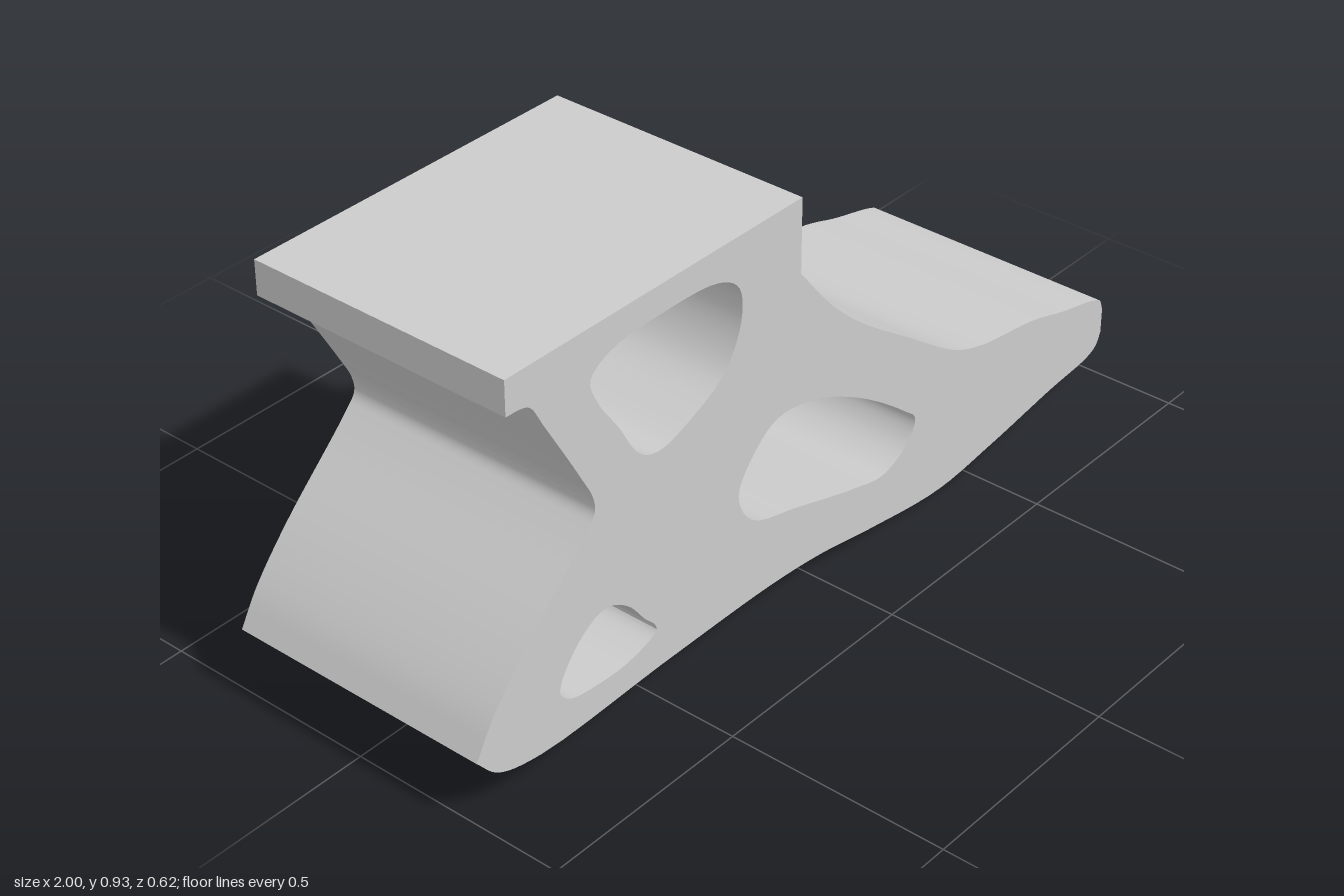
import * as THREE from 'three';
import { toCreasedNormals } from 'three/addons/utils/BufferGeometryUtils.js';

const DEPTH = 0.62;

// Smooth run of 2D points through the given control points
function smooth(points, closed = false) {
  const curve = new THREE.CatmullRomCurve3(
    points.map(([x, y]) => new THREE.Vector3(x, y, 0)), closed, 'centripetal');
  const run = curve.getPoints(points.length * 5).map(p => new THREE.Vector2(p.x, p.y));
  if (closed) run.pop();
  return run;
}

// Side profile, clockwise from the top plate, split where it has hard corners
const instep = [
  [-0.074, 0.762], [0.025, 0.645], [0.125, 0.555], [0.275, 0.45], [0.445, 0.335],
  [0.54, 0.3], [0.73, 0.27], [0.835, 0.24], [0.96, 0.21], [0.988, 0.197], [1, 0.17],
];
const sole = [
  [1, 0.11], [0.985, 0.082], [0.955, 0.067], [0.81, 0.05], [0.6, 0.02], [0.41, 0.002],
  [0.17, 0.031], [0.01, 0.058], [-0.15, 0.071], [-0.47, 0.071], [-0.835, 0.066],
  [-0.945, 0.095], [-1, 0.15],
];
const heel = [
  [-1, 0.15], [-0.955, 0.225], [-0.865, 0.33], [-0.7, 0.49], [-0.668, 0.53], [-0.672, 0.565],
  [-0.7, 0.62], [-0.795, 0.785], [-0.828, 0.84], [-0.848, 0.85], [-0.891, 0.853],
];

// Rounded openings through the web, counter-clockwise so their walls face inwards
const openings = [
  [[-0.655, 0.765], [-0.6, 0.683], [-0.54, 0.592], [-0.485, 0.572], [-0.395, 0.597],
    [-0.3, 0.65], [-0.252, 0.74], [-0.257, 0.815], [-0.315, 0.855], [-0.475, 0.867],
    [-0.62, 0.855], [-0.672, 0.82]],
  [[-0.215, 0.265], [-0.07, 0.217], [0.125, 0.16], [0.21, 0.145], [0.285, 0.178],
    [0.315, 0.23], [0.275, 0.27], [0.125, 0.378], [-0.02, 0.448], [-0.14, 0.464],
    [-0.212, 0.417], [-0.256, 0.345]],
  [[-0.75, 0.148], [-0.67, 0.133], [-0.57, 0.136], [-0.5, 0.165], [-0.537, 0.213],
    [-0.583, 0.268], [-0.645, 0.298], [-0.717, 0.265], [-0.774, 0.18]],
];

export function createModel() {
  const model = new THREE.Group();
  model.name = 'footBracket';

  const outline = new THREE.Shape([
    new THREE.Vector2(-0.891, 0.93),
    new THREE.Vector2(-0.074, 0.93),
    ...smooth(instep),
    ...smooth(sole),
    ...smooth(heel).slice(1),
  ]);
  outline.holes = openings.map(points => new THREE.Path(smooth(points, true)));

  // Whole foot is one extrusion across its width
  const extrusion = new THREE.ExtrudeGeometry(outline, { depth: DEPTH, bevelEnabled: false });
  extrusion.translate(0, 0, -DEPTH / 2);
  const foot = new THREE.Mesh(
    toCreasedNormals(extrusion, Math.PI / 5),
    new THREE.MeshStandardMaterial({ color: 0xcccccc }));
  foot.name = 'footBody';
  model.add(foot);

  return model;
}
